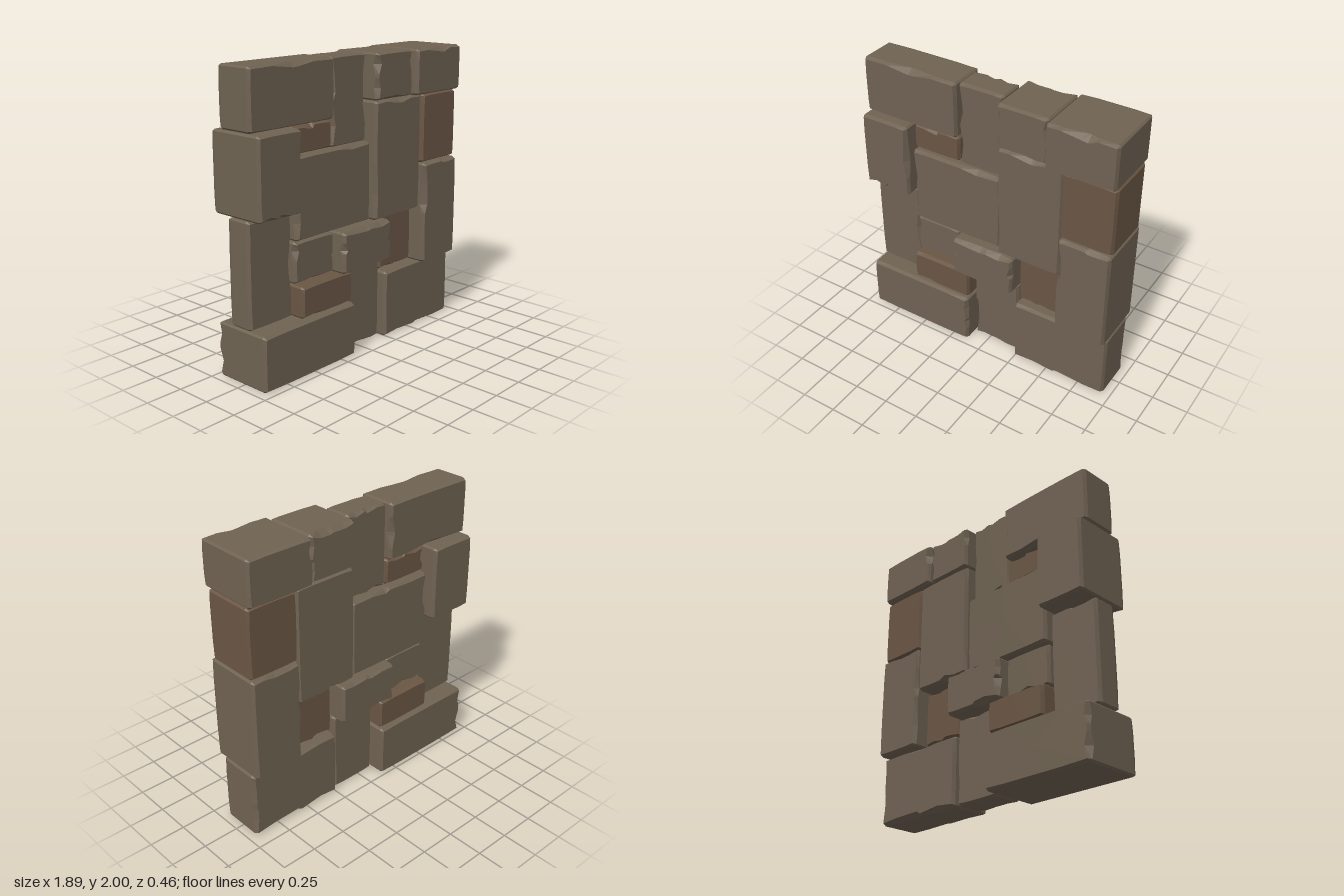
import * as THREE from 'three';

// Each stone: name, x0, x1, y0, y1, zBack, zFront, dark?
const STONES = [
  ['topLeftStone', -0.945, -0.235, 1.61, 2.0, -0.16, 0.12],
  ['topMiddleStone', -0.23, 0.1, 1.42, 2.0, -0.115, 0.09],
  ['topInnerRightStone', 0.11, 0.465, 1.69, 2.0, -0.195, 0.185],
  ['topRightStone', 0.47, 0.945, 1.69, 2.0, -0.22, 0.23],
  ['upperLeftStone', -0.945, -0.59, 1.08, 1.605, -0.235, 0.19],
  ['upperSmallStone', -0.585, -0.235, 1.425, 1.605, -0.125, 0.095, true],
  ['centreStone', -0.585, 0.1, 0.88, 1.42, -0.165, 0.13],
  ['tallCentreStone', 0.11, 0.575, 0.88, 1.685, -0.185, 0.175],
  ['upperRightStone', 0.58, 0.945, 1.205, 1.685, -0.19, 0.195, true],
  ['lowerRightStone', 0.58, 0.945, 0.48, 1.2, -0.205, 0.22],
  ['lowerLeftStone', -0.945, -0.59, 0.375, 1.075, -0.11, 0.08],
  ['innerLeftStone', -0.585, -0.235, 0.595, 0.87, -0.14, 0.11],
  ['innerMiddleStone', -0.23, 0.235, 0.59, 0.87, -0.225, 0.205],
  ['innerRightStone', 0.24, 0.575, 0.485, 0.87, -0.1, 0.1, true],
  ['lowerSmallStone', -0.585, -0.13, 0.375, 0.588, -0.205, 0.175, true],
  ['bottomLeftStone', -0.945, -0.125, 0, 0.37, -0.23, 0.205],
  ['bottomMiddleStone', -0.12, 0.23, 0, 0.585, -0.12, 0.1],
  ['bottomRightStone', 0.24, 0.945, 0, 0.475, -0.15, 0.16],
];

// Small seeded random generator
function seeded(seed) {
  let s = seed * 7919 + 17;
  return () => (s = (s * 16807) % 2147483647) / 2147483647;
}

// Bevelled block with chipped edges, made of four outline loops and two caps
function stoneGeometry(w, h, d, random) {
  const a = w / 2, b = h / 2, cut = 0.012, steps = [0, 0.22, 0.42, 0.5, 0.78, 1];

  // Outline running counter-clockwise, corners clipped
  const corners = [[-a, -b], [a, -b], [a, b], [-a, b]];
  const outline = [];
  corners.forEach(([x0, y0], i) => {
    const [x1, y1] = corners[(i + 1) % 4];
    const len = Math.hypot(x1 - x0, y1 - y0);
    const ux = (x1 - x0) / len, uy = (y1 - y0) / len;
    steps.forEach((t, k) => {
      const inner = k > 0 && k < steps.length - 1;
      const s = cut + (len - 2 * cut) * (inner ? t + (random() - 0.5) * 0.06 : t);
      outline.push({ x: x0 + ux * s, y: y0 + uy * s, nx: -uy, ny: ux, side: i, inner });
    });
  });

  // Face loop pulled inwards, deeper where the edge is chipped
  const makeFace = (sign) => {
    const chipped = [0, 1, 2, 3].map(() => random() < 0.5);
    const face = [], edge = [];
    for (const p of outline) {
      const chip = p.inner && chipped[p.side] && random() < 0.5 ? 0.008 + random() * 0.018 : 0;
      const inset = 0.011 + chip;
      const shift = p.inner ? 0 : 0.004;
      const cx = -Math.sign(p.x) * shift, cy = -Math.sign(p.y) * shift;
      face.push([p.x + p.nx * inset + cx, p.y + p.ny * inset + cy, sign * d / 2]);
      edge.push([p.x, p.y, sign * (d / 2 - 0.026 - chip * 0.8)]);
    }
    return { face, edge };
  };
  const back = makeFace(-1), front = makeFace(1);
  const loops = [back.face, back.edge, front.edge, front.face];

  const pos = [], n = outline.length;
  const tri = (p, q, r) => pos.push(...p, ...q, ...r);
  for (let i = 0; i < n; i++) {
    const j = (i + 1) % n;
    for (let k = 0; k < 3; k++) {
      tri(loops[k][i], loops[k][j], loops[k + 1][j]);
      tri(loops[k][i], loops[k + 1][j], loops[k + 1][i]);
    }
    tri([0, 0, d / 2], front.face[i], front.face[j]);
    tri([0, 0, -d / 2], back.face[j], back.face[i]);
  }
  const geometry = new THREE.BufferGeometry();
  geometry.setAttribute('position', new THREE.Float32BufferAttribute(pos, 3));
  geometry.computeVertexNormals();
  return geometry;
}

export function createModel() {
  const wall = new THREE.Group();
  wall.name = 'stoneWall';
  const grey = new THREE.MeshStandardMaterial({ color: 0x6f6252, flatShading: true });
  const brown = new THREE.MeshStandardMaterial({ color: 0x6a5644, flatShading: true });

  STONES.forEach(([name, x0, x1, y0, y1, z0, z1, dark], i) => {
    const geometry = stoneGeometry(x1 - x0, y1 - y0, z1 - z0, seeded(i + 1));
    const stone = new THREE.Mesh(geometry, dark ? brown : grey);
    stone.name = name;
    stone.position.set((x0 + x1) / 2, (y0 + y1) / 2, (z0 + z1) / 2);
    wall.add(stone);
  });
  return wall;
}
